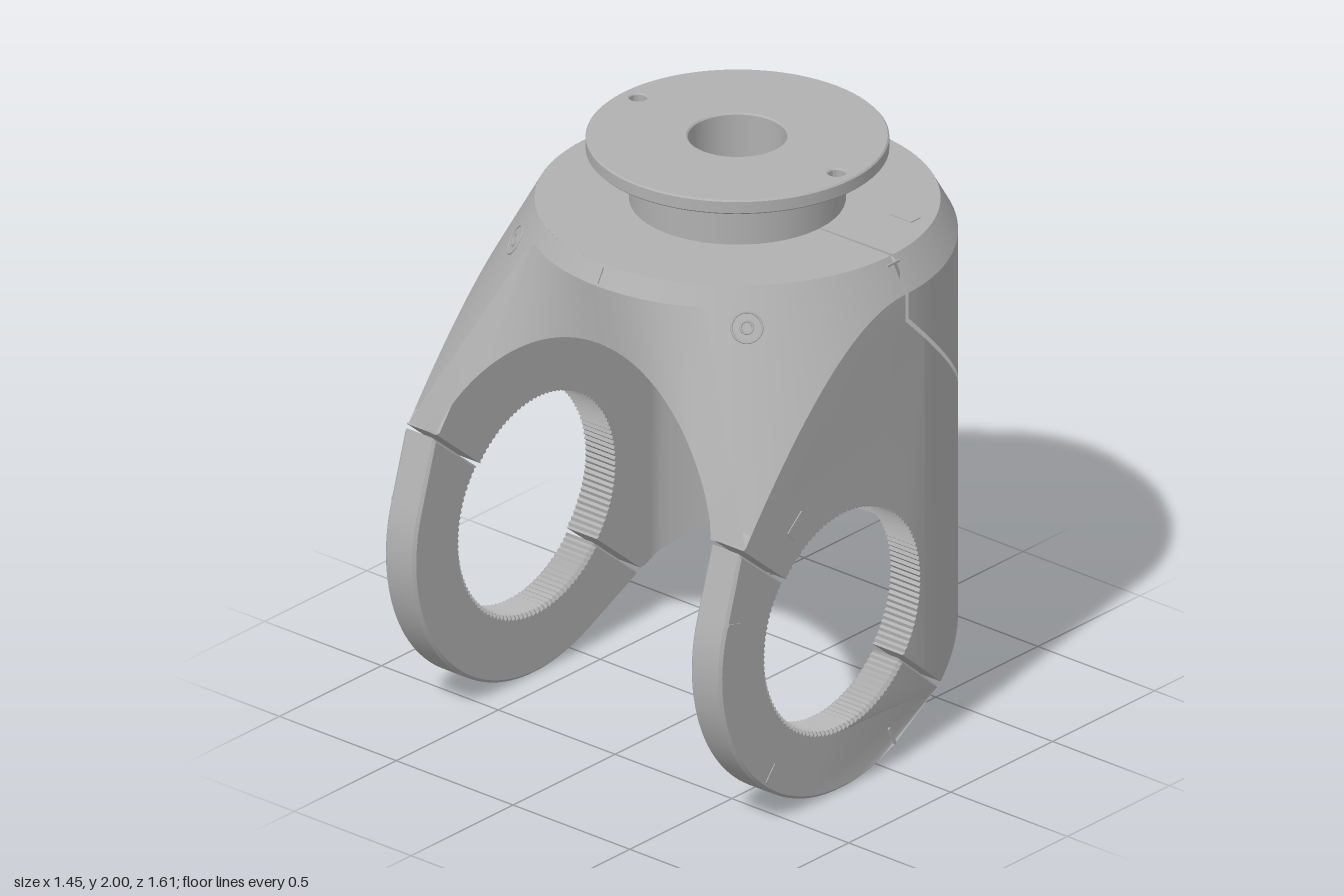
import * as THREE from 'three';
import { toCreasedNormals } from 'three/addons/utils/BufferGeometryUtils.js';

const TOP = 1.775, RTOP = 0.655, AXZ = -0.1;      // top deck height, deck radius, vertical axis
const PY = 0.61, PZ = 0.2, HOLE = 0.372;          // pivot of the side bearings
const OUT = 0.72, INN = 0.59;                     // outer and inner faces of the arms
const CUT = 40 * Math.PI / 180;                   // angle of the bearing cap split
const lerp = THREE.MathUtils.lerp;

// shoulder cone and the radius where it ends at each angle (0 = front)
const coneY = r => TOP - (r - RTOP) / 0.55;
function coneEdge(a) {
  const s = Math.abs(Math.sin(a)), c = Math.cos(a);
  if (c < 0) return 1 / Math.hypot(s / OUT, c / 0.7);
  const front = s < 0.9 ? Math.max(0.691, 0.277 / (0.936 - s)) : Infinity;
  return Math.min(front, OUT / Math.max(s, 1e-6));
}
const around = (a, r, y) => [r * Math.sin(a), y, AXZ + r * Math.cos(a)];

// diagonal split of the back cover, and the sloped bottom edge
const splitY = z => 1.56 + 0.97 * (z - AXZ);
const bottomY = z => Math.max(0.067 - 0.466 * (z + 0.054), PY + Math.tan(CUT) * (z - PZ));
const outerX = z => z < AXZ ? OUT * Math.sqrt(Math.max(0, 1 - ((z - AXZ) / 0.7) ** 2)) : OUT;
const innerZ = x => AXZ - 0.67 * Math.sqrt(1 - (x / 0.65) ** 2);

// surface from fn(u, v) with u, v in 0..1; skip(point) drops cells lying wholly in a hole
function grid(fn, nu, nv, skip) {
  const pos = [], idx = [], gone = [];
  for (let i = 0; i <= nu; i++) for (let j = 0; j <= nv; j++) {
    const p = fn(i / nu, j / nv);
    gone.push(skip ? skip(p) : false);
    pos.push(...p);
  }
  for (let i = 0; i < nu; i++) for (let j = 0; j < nv; j++) {
    const a = i * (nv + 1) + j, b = a + nv + 1;
    if (gone[a] && gone[b] && gone[a + 1] && gone[b + 1]) continue;
    idx.push(a, b, a + 1, b, b + 1, a + 1);
  }
  const g = new THREE.BufferGeometry();
  g.setAttribute('position', new THREE.Float32BufferAttribute(pos, 3));
  g.setIndex(idx);
  g.computeVertexNormals();
  return g;
}

// point around the pivot, as (z, y)
const polar = (r, a) => new THREE.Vector2(PZ + r * Math.cos(a), PY + r * Math.sin(a));
function arc(r, a0, a1, n, tooth = 0) {
  return Array.from({ length: n + 1 }, (_, i) => polar(r + (i % 2) * tooth, lerp(a0, a1, i / n)));
}

// arm plate from a (z, y) outline; its outer face follows the rounded back
function armPlate(points, side, bevel) {
  const g = new THREE.ExtrudeGeometry(new THREE.Shape(points), {
    depth: OUT - INN - 2 * bevel, bevelEnabled: bevel > 0, bevelThickness: bevel,
    bevelSize: bevel, bevelOffset: -bevel, bevelSegments: 1
  });
  g.rotateY(-Math.PI / 2);
  g.translate(side > 0 ? OUT - bevel : -INN - bevel, 0, 0);
  const p = g.attributes.position;
  for (let i = 0; i < p.count; i++)
    if (Math.abs(p.getX(i)) > 0.65) p.setX(i, p.getX(i) - side * (OUT - outerX(p.getZ(i))));
  return toCreasedNormals(g, 0.5);
}

export function createModel() {
  const model = new THREE.Group();
  const grey = new THREE.MeshStandardMaterial({ color: 0xb0b0b0, side: THREE.DoubleSide });
  grey.name = 'grey';
  function add(name, geo, parent = model) {
    const m = new THREE.Mesh(geo, grey);
    m.name = name;
    parent.add(m);
    return m;
  }

  // top deck and shoulder, in a front and a back half with a narrow gap
  const halves = [['front', -Math.PI / 2, Math.PI / 2], ['back', Math.PI / 2 + 0.02, Math.PI * 1.5 - 0.02]];
  for (const [name, a0, a1] of halves) {
    add(name + 'Deck', grid((u, v) => around(lerp(a0, a1, u), lerp(0.16, RTOP, v), TOP), 64, 1));
    add(name + 'Shoulder', grid((u, v) => {
      const a = lerp(a0, a1, u), r = lerp(RTOP, coneEdge(a), v);
      return around(a, r, coneY(r));
    }, 120, 4));
  }
  for (const s of [-1, 1])
    add('deckGrooveFloor', new THREE.BoxGeometry(0.5, 0.14, 0.06)).position.set(s * 0.42, 1.685, AXZ);

  // back cover above the diagonal split
  add('backCover', grid((u, v) => {
    const a = lerp(halves[1][1], halves[1][2], u), r = coneEdge(a);
    const [x, , z] = around(a, r, 0);
    return [x, lerp(splitY(z) + 0.02, coneY(r), v), z];
  }, 72, 2));

  // rounded rear wall: outside, inside and bottom edge
  const a0 = Math.asin(0.1 / 0.7);
  const outer = u => {
    const a = lerp(a0, Math.PI - a0, u);
    return [OUT * Math.cos(a), AXZ - 0.7 * Math.sin(a)];
  };
  const inner = u => {
    const a = lerp(a0, Math.PI - a0, u);
    return [THREE.MathUtils.clamp(0.65 * Math.cos(a), -INN, INN), AXZ - 0.67 * Math.sin(a)];
  };
  for (const [name, path] of [['rearWallOutside', outer], ['rearWallInside', inner]])
    add(name, grid((u, v) => {
      const [x, z] = path(u);
      return [x, lerp(bottomY(z), splitY(z), v), z];
    }, 72, 2));
  add('rearWallBottom', grid((u, v) => {
    const [xi, zi] = inner(u), [xo, zo] = outer(u);
    return [lerp(xi, xo, v), lerp(bottomY(zi), bottomY(zo), v), lerp(zi, zo, v)];
  }, 72, 1));

  // front arch edge, the panel above it and the vaulted ceiling behind it
  const archEdge = x => {
    const y = 1.03 + 0.47 * Math.pow(Math.max(0, 1 - (x / INN) ** 2), 0.75);
    return [x, y, 0.705 - 0.27 * (y - 1.035)];
  };
  const corner = Math.asin(0.676);
  add('frontPanel', grid((u, v) => {
    const t = 2 * u - 1, e = archEdge(INN * t), a = corner * t, r = coneEdge(a);
    const top = around(a, r, coneY(r));
    return e.map((q, i) => lerp(q, top[i], v));
  }, 72, 3));
  const inBore = p => Math.hypot(p[0], p[2] - AXZ) < 0.1601;
  add('ceiling', grid((u, v) => {
    const x = INN * Math.sin((u - 0.5) * Math.PI), e = archEdge(x), zs = innerZ(x), ys = splitY(zs);
    const r = lerp(Math.hypot(e[1] - PY, e[2] - PZ), Math.hypot(ys - PY, zs - PZ), v);
    const f = lerp(Math.atan2(e[1] - PY, e[2] - PZ), Math.atan2(ys - PY, zs - PZ), v);
    const p = [x, PY + r * Math.sin(f), PZ + r * Math.cos(f)];
    if (inBore(p)) {                                  // push points out to the bore's rim
      const d = Math.hypot(p[0], p[2] - AXZ) || 1;
      p[0] *= 0.16 / d;
      p[2] = AXZ + (p[2] - AXZ) * 0.16 / d;
    }
    return p;
  }, 72, 48, inBore));

  // neck, bore and flange
  const turned = pts => new THREE.LatheGeometry(pts.map(p => new THREE.Vector2(...p)), 48);
  add('neck', turned([[0.35, TOP], [0.35, 1.955]])).position.z = AXZ;
  add('bore', turned([[0.16, 1.53], [0.16, 1.96]])).position.z = AXZ;
  const disc = new THREE.Shape().absarc(0, 0, 0.49, 0, Math.PI * 2);
  for (const [x, r] of [[0, 0.16], [0.425, 0.028], [-0.425, 0.028]])
    disc.holes.push(new THREE.Path().absarc(x, 0, r, 0, Math.PI * 2));
  const flange = new THREE.ExtrudeGeometry(disc, {
    depth: 0.04, curveSegments: 40, bevelThickness: 0.005, bevelSize: 0.005, bevelOffset: -0.005, bevelSegments: 1
  });
  flange.rotateX(-Math.PI / 2);
  add('flange', toCreasedNormals(flange, 0.5)).position.set(0, 1.955, AXZ);

  // arm outlines: upper half with the shoulder curve, lower half as bearing cap
  const tip = polar(0.65, CUT), V = (z, y) => new THREE.Vector2(z, y);
  const shoulder = [];
  for (let i = 0; i <= 24; i++) {
    const a = lerp(corner, Math.PI / 2, i / 24);
    shoulder.push(V(AXZ + OUT * Math.cos(a) / Math.sin(a), coneY(OUT / Math.sin(a))));
  }
  const armOutline = [tip, ...shoulder, V(AXZ, splitY(AXZ)), V(-0.2, splitY(-0.2)), V(-0.2, bottomY(-0.2)),
    ...arc(HOLE, CUT + Math.PI, CUT, 120, 0.007)];
  const gap = V(Math.sin(CUT) * 0.014, -Math.cos(CUT) * 0.014);
  const capOutline = [tip, ...arc(0.6, 0.304, -2.009, 48), V(-0.305, 0.186),
    ...arc(HOLE, CUT - Math.PI, CUT, 120, 0.007)].map(p => p.clone().add(gap));
  capOutline.forEach(p => { p.y = Math.max(p.y, 0); });

  // small round and square fittings, facing along a normal
  function fitting(name, geo, pos, normal) {
    const m = add(name, geo);
    m.position.set(...pos);
    m.quaternion.setFromUnitVectors(new THREE.Vector3(0, 0, 1), new THREE.Vector3(...normal).normalize());
    return m;
  }
  for (const s of [-1, 1]) {
    add('arm', armPlate(armOutline, s, 0));
    add('bearingCap', armPlate(capOutline, s, 0.01));

    // shoulder screws
    const a = s * 0.76, r = 0.72;
    const n = [Math.sin(a), 0.55, Math.cos(a)], at = around(a, r, coneY(r));
    fitting('shoulderScrewRim', new THREE.TorusGeometry(0.05, 0.004, 6, 28), at, n);
    fitting('shoulderScrew', new THREE.TorusGeometry(0.02, 0.004, 6, 20), at, n);

    // cap screws and alignment ticks on the rim of the cap
    const lug = s * 0.655;
    fitting('capScrew', new THREE.TorusGeometry(0.045, 0.005, 6, 24), [lug, 0.58, 0.8], [0, 0, 1]);
    for (const t of [0.3, -0.87, -2.0]) {
      const p = polar(0.6, t);
      fitting('capTick', new THREE.BoxGeometry(0.11, 0.01, 0.006), [lug, p.y, p.x], [0, Math.sin(t), Math.cos(t)]);
      const q = polar(0.56, t);
      add('sideTick', new THREE.BoxGeometry(0.006, 0.01, 0.07)).position.set(s * OUT, q.y, q.x);
      model.children.at(-1).rotation.x = -t;
    }
    const slot = add('sideSlot', new THREE.BoxGeometry(0.006, 0.05, 0.09));
    slot.position.set(s * OUT, 1.02, 0.43);
    slot.rotation.x = CUT;
    add('deckSlot', new THREE.BoxGeometry(0.09, 0.006, 0.045)).position.set(s * 0.5, TOP, -0.35);

    // slanted leaf-shaped mark lying on the rounded side
    add('sideMark', grid((u, v) => {
      const w = 0.035 * Math.min(1, 3 * u, 3 * (1 - u)) * (2 * v - 1);
      const z = lerp(-0.48, -0.26, u) + w * 0.8, y = lerp(0.77, 0.47, u) + w * 0.6;
      return [s * (outerX(z) + 0.004), y, z];
    }, 12, 4));
  }
  add('frontTick', new THREE.BoxGeometry(0.01, 0.055, 0.006)).position.set(0, 1.742, 0.575);
  model.children.at(-1).rotation.x = -0.5;

  return model;
}
